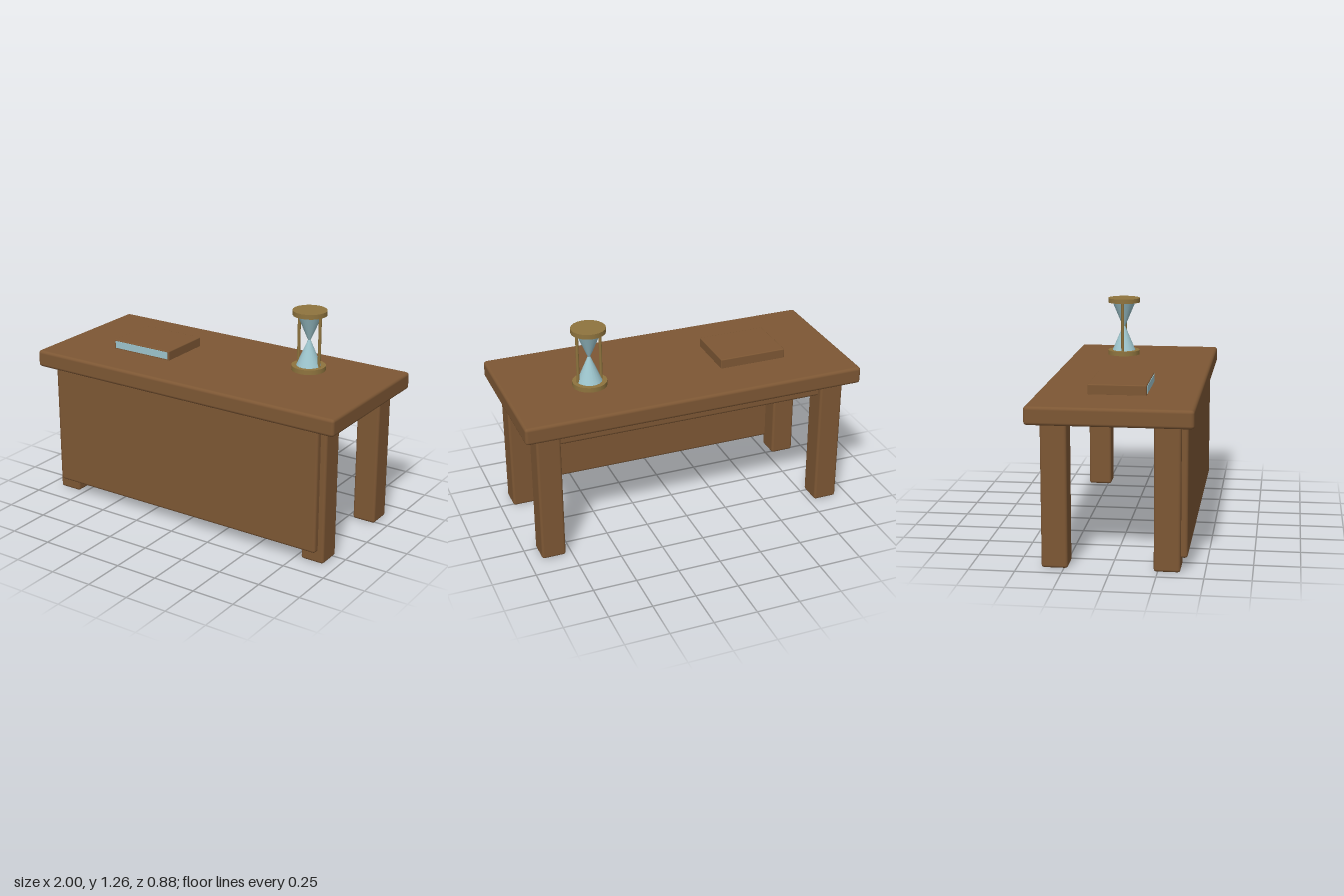
import * as THREE from 'three';
import { RoundedBoxGeometry } from 'three/addons/geometries/RoundedBoxGeometry.js';

export function createModel() {
  const model = new THREE.Group();
  model.name = 'desk';
  const material = (name, color) => {
    const m = new THREE.MeshStandardMaterial({ color });
    m.name = name;
    return m;
  };
  const wood = material('brown wood', 0x7d5734);
  const brass = material('dull brass', 0x8f743e);
  const glass = material('pale blue', 0x9dc5cd);

  const add = (name, geometry, mat, x, y, z, parent = model) => {
    const mesh = new THREE.Mesh(geometry, mat);
    mesh.name = name;
    mesh.position.set(x, y, z);
    parent.add(mesh);
    return mesh;
  };
  // Softly bevelled box given by its bottom and top heights
  const board = (name, w, y0, y1, d, x, z, bevel) =>
    add(name, new RoundedBoxGeometry(w, y1 - y0, d, 2, bevel), wood, x, (y0 + y1) / 2, z);

  // Desk
  board('deskTop', 2, 0.79, 0.89, 0.885, 0, 0, 0.018);
  for (const side of [1, -1]) {
    for (const end of [1, -1]) board('leg', 0.14, 0, 0.792, 0.142, side * 0.855, end * 0.3, 0.015);
    board('rail', 1.66, 0.695, 0.795, 0.07, 0, side * 0.3, 0.015);
  }
  board('frontPanel', 1.78, 0.07, 0.792, 0.06, 0, 0.376, 0.015);

  // Book with a page block showing at the front edge
  board('bookCover', 0.4, 0.885, 0.945, 0.32, -0.445, 0, 0.006);
  add('bookPages', new THREE.BoxGeometry(0.376, 0.042, 0.02), glass, -0.445, 0.917, 0.153);

  // Hourglass
  const hourglass = new THREE.Group();
  hourglass.name = 'hourglass';
  hourglass.position.set(0.53, 0, -0.11);
  model.add(hourglass);
  const disc = new THREE.CylinderGeometry(0.098, 0.098, 0.027, 20);
  const post = new THREE.CylinderGeometry(0.009, 0.009, 0.3, 8);
  const bulb = new THREE.CylinderGeometry(0.007, 0.071, 0.15, 20);
  add('baseDisc', disc, brass, 0, 0.925, 0, hourglass);
  add('topDisc', disc, brass, 0, 1.248, 0, hourglass);
  for (const side of [1, -1]) add('post', post, brass, side * 0.067, 1.0865, 0, hourglass);
  add('lowerBulb', bulb, glass, 0, 1.0125, 0, hourglass);
  add('upperBulb', bulb, glass, 0, 1.1605, 0, hourglass).rotation.x = Math.PI;

  return model;
}
